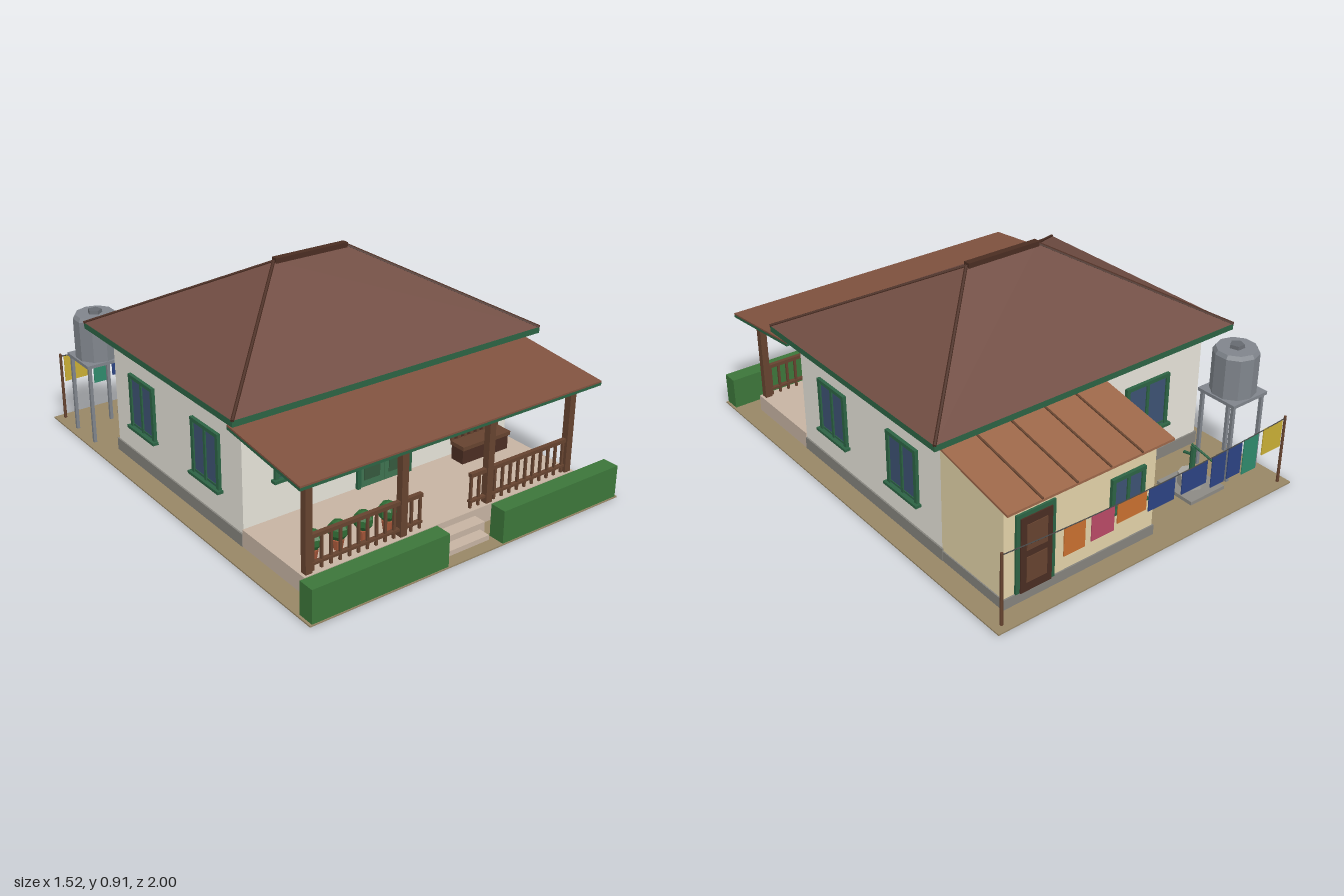
import * as THREE from 'three';
import { ConvexGeometry } from 'three/addons/geometries/ConvexGeometry.js';

const mats = {};
const mat = (color) => (mats[color] ??= new THREE.MeshStandardMaterial({ color, flatShading: true, side: THREE.DoubleSide }));
const V = (x, y, z) => new THREE.Vector3(x, y, z);
const C = {
  wall: 0xe6e3d9, annex: 0xe2d2a8, plinth: 0x85837d, roof: 0x704c42, porchRoof: 0x80523f, tin: 0x9c6749,
  green: 0x2c6344, doorGreen: 0x3f7350, panel: 0x35593e, glass: 0x3d5273, wood: 0x66432f, darkWood: 0x4a2d22,
  floor: 0xc6b3a2, ground: 0x988766, hedge: 0x3c763a, leaf: 0x2f6b35, pot: 0xa8573a, metal: 0x80858c,
  concrete: 0x8c8a84,
};

export function createModel() {
  const root = new THREE.Group();
  const group = (name, parent = root) => {
    const g = new THREE.Group();
    g.name = name;
    parent.add(g);
    return g;
  };
  const add = (name, geo, color, parent = root) => {
    const m = new THREE.Mesh(geo, mat(color));
    m.name = name;
    parent.add(m);
    return m;
  };
  // box given by its min and max on each axis
  const box = (name, color, x0, x1, y0, y1, z0, z1, parent) => {
    const m = add(name, new THREE.BoxGeometry(x1 - x0, y1 - y0, z1 - z0), color, parent);
    m.position.set((x0 + x1) / 2, (y0 + y1) / 2, (z0 + z1) / 2);
    return m;
  };
  const cyl = (name, color, x, y0, y1, z, rTop, rBottom, sides, parent) => {
    const m = add(name, new THREE.CylinderGeometry(rTop, rBottom, y1 - y0, sides), color, parent);
    m.position.set(x, (y0 + y1) / 2, z);
    return m;
  };
  // round rod between two points
  const rod = (name, color, a, b, r, parent) => {
    const m = add(name, new THREE.CylinderGeometry(r, r, a.distanceTo(b), 6), color, parent);
    m.position.copy(a).lerp(b, 0.5);
    m.quaternion.setFromUnitVectors(V(0, 1, 0), b.clone().sub(a).normalize());
    return m;
  };
  // sloping slab whose underside runs from (y0, z0) to (y1, z1)
  const slab = (name, color, x0, x1, y0, z0, y1, z1, t, parent) => {
    const pts = [];
    for (const x of [x0, x1]) for (const [y, z] of [[y0, z0], [y1, z1]]) pts.push(V(x, y, z), V(x, y + t, z));
    return add(name, new ConvexGeometry(pts), color, parent);
  };

  // plot and hedges
  box('ground', C.ground, -0.76, 0.76, 0, 0.006, -1, 1);
  for (const s of [-1, 1]) box('hedge', C.hedge, s * 0.4425 - 0.3075, s * 0.4425 + 0.3075, 0.006, 0.145, 0.925, 0.997);

  // house body
  box('plinth', C.plinth, -0.672, 0.672, 0.006, 0.06, -0.547, 0.44);
  box('walls', C.wall, -0.665, 0.665, 0.06, 0.565, -0.54, 0.44);

  // hipped roof with fascia and caps
  const roof = group('mainRoof');
  const zr = -0.055;
  const corners = [-1, 1].flatMap((s) => [V(s * 0.75, 0.586, 0.52), V(s * 0.75, 0.586, -0.628)]);
  const peaks = [-1, 1].map((s) => V(s * 0.18, 0.9, zr));
  box('fascia', C.green, -0.75, 0.75, 0.56, 0.586, -0.628, 0.52, roof);
  add('roofTiles', new ConvexGeometry([...corners, ...peaks]), C.roof, roof);
  corners.forEach((c) => rod('hipCap', C.darkWood, c, peaks[c.x < 0 ? 0 : 1], 0.007, roof));
  box('ridgeCap', C.darkWood, -0.178, 0.178, 0.892, 0.914, zr - 0.015, zr + 0.015, roof);

  // window built facing +z, then turned into place
  const window = (x, y, z, angle, w, h) => {
    const g = group('window');
    const a = w / 2, b = h / 2;
    box('glass', C.glass, -a, a, -b, b, -0.005, 0.005, g);
    for (const s of [-1, 1]) {
      box('jamb', C.green, s * a - 0.009, s * a + 0.009, -b, b, -0.005, 0.012, g);
      box('sash', C.green, s * a * 0.5 - a * 0.42, s * a * 0.5 + a * 0.42, -b + 0.009, -b + 0.017, 0, 0.008, g);
    }
    box('head', C.green, -a - 0.009, a + 0.009, b - 0.012, b + 0.004, -0.005, 0.013, g);
    box('mullion', C.green, -0.007, 0.007, -b, b, 0, 0.011, g);
    box('sill', C.green, -a - 0.02, a + 0.02, -b - 0.008, -b + 0.004, -0.005, 0.024, g);
    g.position.set(x, y, z);
    g.rotation.y = angle;
  };
  for (const s of [-1, 1]) {
    window(s * 0.4, 0.4, 0.442, 0, 0.235, 0.31);
    for (const z of [0.195, -0.3]) window(s * 0.667, 0.297, z, (s * Math.PI) / 2, 0.18, 0.235);
  }
  window(-0.36, 0.297, -0.542, Math.PI, 0.22, 0.235);

  // double front door
  const door = group('frontDoor');
  box('doorHead', C.green, -0.14, 0.14, 0.535, 0.555, 0.435, 0.458, door);
  for (const s of [-1, 1]) {
    box('doorJamb', C.green, s * 0.129 - 0.008, s * 0.129 + 0.008, 0.08, 0.54, 0.435, 0.455, door);
    box('doorLeaf', C.doorGreen, s * 0.061 - 0.06, s * 0.061 + 0.06, 0.08, 0.54, 0.435, 0.448, door);
    for (const [y0, y1] of [[0.11, 0.19], [0.215, 0.3], [0.325, 0.5]])
      box('doorPanel', C.panel, s * 0.063 - 0.04, s * 0.063 + 0.04, y0, y1, 0.445, 0.451, door);
    cyl('doorKnob', C.metal, s * 0.012, 0.27, 0.29, 0.452, 0.005, 0.005, 6, door);
  }

  // porch floor, steps, posts, railings and roof
  const porch = group('porch');
  box('porchFloor', C.floor, -0.67, 0.67, 0.006, 0.08, 0.44, 0.84, porch);
  box('upperStep', C.floor, -0.135, 0.135, 0.006, 0.053, 0.84, 0.895, porch);
  box('lowerStep', C.floor, -0.112, 0.112, 0.006, 0.027, 0.84, 0.945, porch);
  slab('porchRoofUnderside', C.green, -0.725, 0.725, 0.515, 0.44, 0.467, 0.895, 0.012, porch);
  slab('porchRoofSheet', C.porchRoof, -0.725, 0.725, 0.527, 0.44, 0.479, 0.895, 0.007, porch);
  box('porchBeam', C.wood, -0.66, 0.66, 0.452, 0.475, 0.803, 0.83, porch);
  for (const s of [-1, 1]) {
    for (const x of [0.213, 0.643])
      box('porchPost', C.wood, s * x - 0.015, s * x + 0.015, 0.08, 0.46, 0.802, 0.832, porch);
    for (const [y, t] of [[0.215, 0.016], [0.105, 0.01]])
      box('rail', C.wood, s * 0.385 - 0.265, s * 0.385 + 0.265, y, y + t, 0.808, 0.826, porch);
    for (let i = 0; i < 13; i++) {
      const x = s * (0.127 + i * 0.041);
      box('baluster', C.wood, x - 0.005, x + 0.005, 0.08, 0.216, 0.812, 0.822, porch);
    }
  }

  // potted plants
  for (let i = 0; i < 4; i++) {
    const plant = group('pottedPlant');
    cyl('pot', C.pot, 0, 0, 0.042, 0, 0.024, 0.017, 8, plant);
    const leaves = add('foliage', new THREE.SphereGeometry(0.041, 7, 5), C.leaf, plant);
    leaves.position.y = 0.08;
    leaves.rotation.y = i;
    plant.position.set(-0.575 + i * 0.115, 0.08, 0.755);
  }

  // porch bench
  const bench = group('bench');
  box('seat', C.wood, 0.335, 0.595, 0.145, 0.162, 0.465, 0.545, bench);
  box('seatBase', C.darkWood, 0.34, 0.59, 0.08, 0.146, 0.468, 0.537, bench);
  box('backRail', C.wood, 0.335, 0.595, 0.228, 0.247, 0.458, 0.471, bench);
  box('backBoard', C.darkWood, 0.34, 0.59, 0.16, 0.23, 0.459, 0.465, bench);
  for (let i = 0; i < 8; i++) {
    const x = 0.343 + i * 0.0349;
    box('backSlat', C.wood, x - 0.008, x + 0.008, 0.16, 0.23, 0.46, 0.47, bench);
  }

  // rear annex with lean-to roof
  const annex = group('annex');
  const walls = [-0.06, 0.665].flatMap((x) =>
    [[0.05, -0.54], [0.525, -0.54], [0.05, -0.905], [0.45, -0.905]].map(([y, z]) => V(x, y, z)));
  add('annexWalls', new ConvexGeometry(walls), C.annex, annex);
  box('annexPlinth', C.plinth, -0.066, 0.67, 0.006, 0.05, -0.911, -0.54, annex);
  slab('annexRoof', C.tin, -0.097, 0.69, 0.525, -0.54, 0.443, -0.957, 0.01, annex);
  for (const x of [0.063, 0.217, 0.376, 0.534])
    slab('roofSeam', C.wood, x - 0.004, x + 0.004, 0.535, -0.54, 0.453, -0.957, 0.005, annex);
  box('backDoorFrame', C.green, 0.435, 0.615, 0.05, 0.39, -0.914, -0.9, annex);
  box('backDoor', C.darkWood, 0.453, 0.597, 0.05, 0.372, -0.919, -0.9, annex);
  for (const y of [0.09, 0.23]) box('backDoorPanel', C.wood, 0.478, 0.572, y, y + 0.11, -0.922, -0.9, annex);
  window(0.085, 0.28, -0.907, Math.PI, 0.15, 0.14);

  // water tank on its stand
  const tank = group('waterTank');
  for (const sx of [-1, 1]) for (const sz of [-1, 1])
    box('standLeg', C.metal, sx * 0.083 - 0.007, sx * 0.083 + 0.007, 0.006, 0.36, sz * 0.083 - 0.007, sz * 0.083 + 0.007, tank);
  box('standTop', C.metal, -0.098, 0.098, 0.358, 0.372, -0.098, 0.098, tank);
  cyl('tankBody', C.metal, 0, 0.372, 0.55, 0, 0.095, 0.095, 10, tank);
  cyl('tankTop', C.metal, 0, 0.55, 0.567, 0, 0.085, 0.095, 10, tank);
  cyl('tankLid', 0x666a70, 0, 0.567, 0.582, 0, 0.03, 0.033, 5, tank);
  tank.position.set(-0.64, 0, -0.75);

  // well with hand pump
  const well = group('well');
  box('wellSlab', C.concrete, -0.095, 0.095, 0.006, 0.022, -0.097, 0.097, well);
  cyl('wellRing', 0xa9a7a0, 0, 0.022, 0.075, 0, 0.055, 0.055, 8, well);
  cyl('pumpBody', C.green, 0, 0.075, 0.2, 0, 0.012, 0.012, 8, well);
  rod('pumpSpout', C.green, V(0, 0.16, 0), V(0, 0.15, 0.048), 0.007, well);
  rod('pumpHandle', C.green, V(0, 0.205, 0.01), V(0, 0.18, -0.115), 0.005, well);
  well.position.set(-0.412, 0, -0.772);

  // clothesline: a sagging cord between two poles, with washing
  const line = group('clothesline');
  const lz = -0.965;
  const sag = (x) => 0.308 - 0.025 * (1 - (x / 0.72) ** 2);
  for (const s of [-1, 1]) cyl('linePole', C.wood, s * 0.72, 0.006, 0.318, lz, 0.006, 0.007, 6, line);
  const cord = new THREE.CatmullRomCurve3(Array.from({ length: 9 }, (_, i) => V(-0.72 + i * 0.18, sag(-0.72 + i * 0.18), lz)));
  add('cord', new THREE.TubeGeometry(cord, 16, 0.003, 4), 0x333333, line);
  const washing = [
    [0.39, 0.1, 0.12, 0xc8702f], [0.255, 0.11, 0.11, 0xb94a66], [0.112, 0.145, 0.085, 0xc8702f],
    [-0.04, 0.134, 0.1, 0x2c4382], [-0.213, 0.134, 0.1, 0x2c4382], [-0.345, 0.075, 0.14, 0x2c4382],
    [-0.435, 0.075, 0.14, 0x2c4382], [-0.525, 0.08, 0.16, 0x2f8a6c], [-0.65, 0.11, 0.12, 0xc9ae35],
  ];
  for (const [x, w, h, color] of washing)
    box('cloth', color, x - w / 2, x + w / 2, sag(x) - h, sag(x), lz - 0.002, lz + 0.002, line);

  return root;
}
